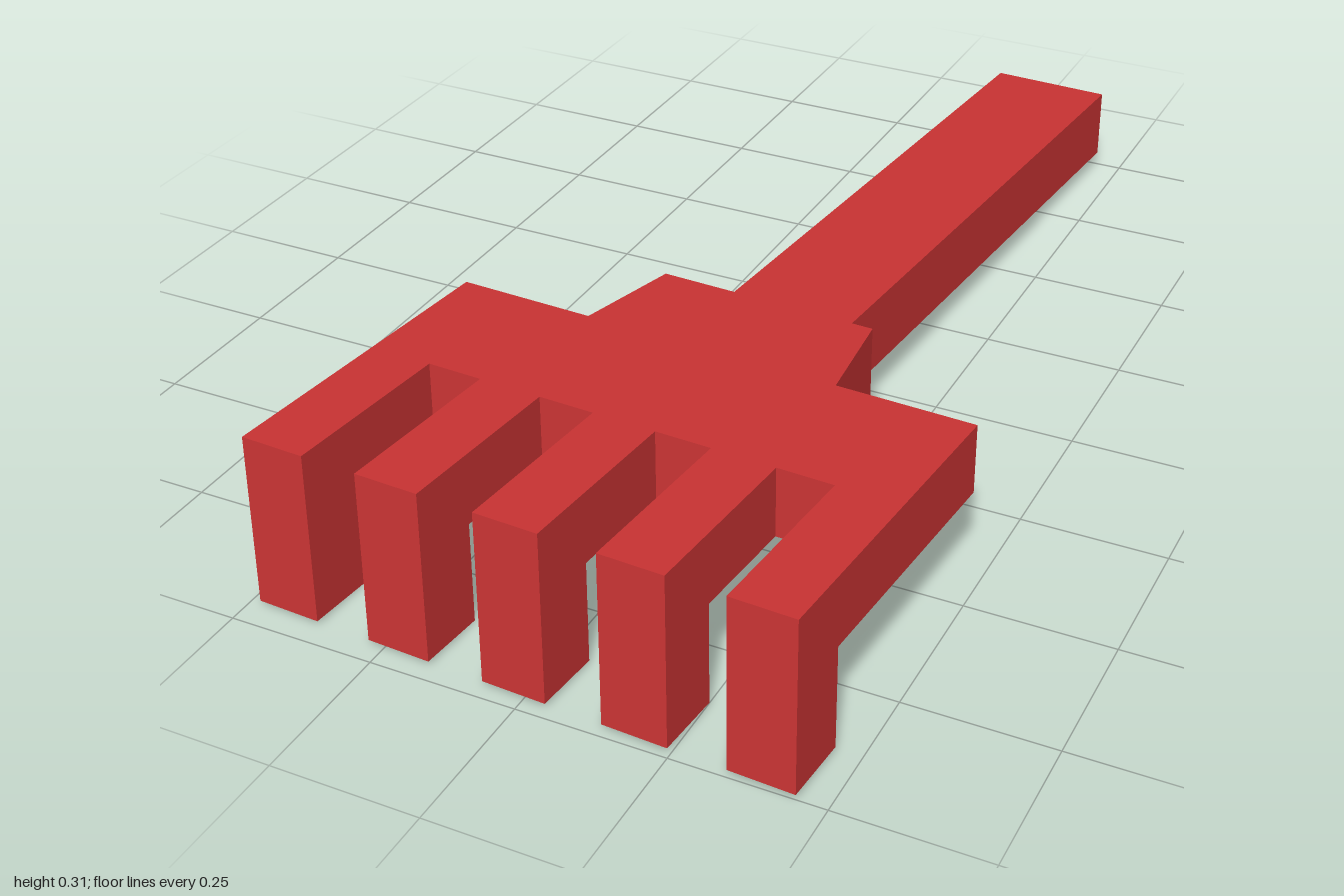
import * as THREE from 'three';

export function createModel() {
  const red = new THREE.MeshStandardMaterial({ color: 0xcc3434 });
  red.name = 'red';

  const model = new THREE.Group();
  model.name = 'handRake';

  // The whole rake lies slightly tilted and turned
  const rake = new THREE.Group();
  rake.name = 'tiltedRake';
  rake.rotation.set(-0.045, -0.054, 0.006, 'YXZ');
  model.add(rake);

  const CENTER = 0.037; // centre line of the rake
  const TOP = 0.26; // top surface of head and neck
  const PLATE = 0.12; // head plate thickness

  function add(name, geometry, x, y, z) {
    const mesh = new THREE.Mesh(geometry, red);
    mesh.name = name;
    mesh.position.set(x, y, z);
    rake.add(mesh);
  }

  // Outline in (x, z), extruded downward from the top surface
  function slab(points, depth) {
    const shape = new THREE.Shape(points.map(([x, z]) => new THREE.Vector2(x, z)));
    return new THREE.ExtrudeGeometry(shape, { depth, bevelEnabled: false }).rotateX(Math.PI / 2);
  }

  // Comb-shaped head plate
  const HALF = 0.468, TINE_W = 0.11, PITCH = 0.2065;
  const BACK = 0.406, ROOT = 0.661, FRONT = 0.976;
  const comb = [[HALF, BACK], [-HALF, BACK]];
  for (let i = 0; i < 5; i++) {
    const a = -HALF + i * PITCH;
    const b = a + TINE_W;
    if (i > 0) comb.push([a, ROOT]);
    comb.push([a, FRONT], [b, FRONT]);
    if (i < 4) comb.push([b, ROOT]);
  }
  add('headPlate', slab(comb, PLATE), CENTER, TOP, 0);

  // Downward prongs at the ends of the tines
  const DROP = 0.175, PRONG = 0.119;
  for (let i = 0; i < 5; i++) {
    const x = CENTER - HALF + i * PITCH + TINE_W / 2;
    add('prong' + (i + 1), new THREE.BoxGeometry(TINE_W, DROP, PRONG),
      x, TOP - PLATE - DROP / 2, FRONT - PRONG / 2);
  }

  // Tapered neck, thicker than the plate
  add('neck', slab([[-0.195, 0.215], [0.195, 0.215], [0.227, BACK], [-0.227, BACK]], 0.195),
    CENTER, TOP, 0);

  // Straight handle
  const LENGTH = 1.206;
  add('handle', new THREE.BoxGeometry(0.226, 0.13, LENGTH), 0.04, 0.144, 0.215 - LENGTH / 2);

  return model;
}
